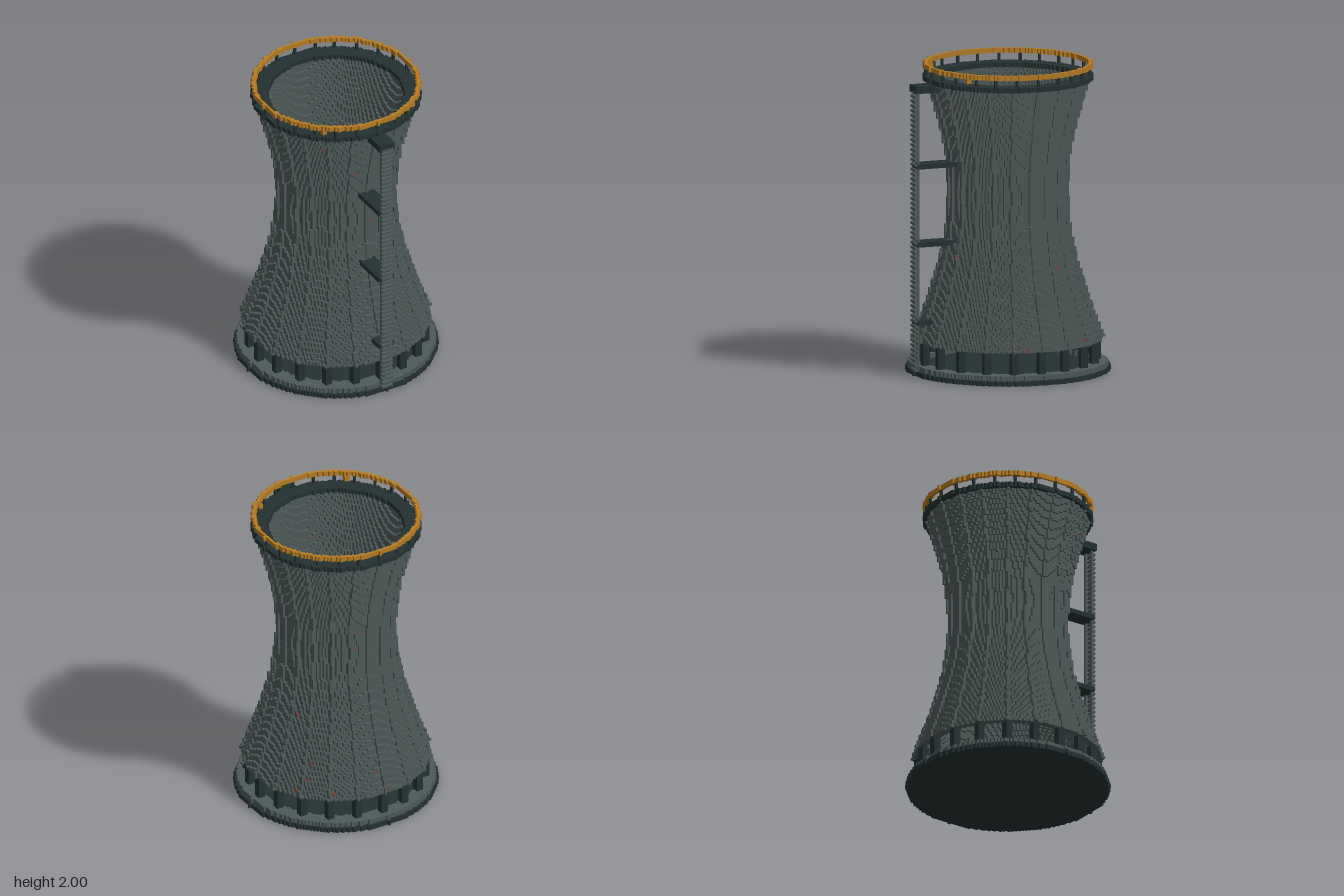
import * as THREE from 'three';

// The tower is made of small cubes: x and z run from -43 to 43, y from 0 to 125.
const S = 2 / 126, HALF = 43, W = 2 * HALF + 1;

const mats = {};
for (const [name, hex] of [['concrete', 0x4e5a59], ['darkSteel', 0x253232], ['safetyOrange', 0xb87d24], ['rust', 0x8a4030]]) {
  mats[name] = new THREE.MeshStandardMaterial({ color: hex });
  mats[name].name = name;
}

// Builds the outer faces of all cubes accepted by inside(x, y, z), joining neighbours into long strips.
function cubes(name, material, y0, y1, inside) {
  const dim = [W, y1 - y0, W];
  const grid = new Uint8Array(W * W * dim[1]);
  const at = (c) => (c.some((n, i) => n < 0 || n >= dim[i]) ? 0 : grid[(c[1] * W + c[2]) * W + c[0]]);
  for (let y = 0; y < dim[1]; y++)
    for (let z = 0; z < W; z++)
      for (let x = 0; x < W; x++)
        if (inside(x - HALF, y + y0, z - HALF)) grid[(y * W + z) * W + x] = 1;

  const pos = [], index = [];
  for (let a = 0; a < 3; a++) {
    const u = a === 1 ? 0 : 1, v = 3 - a - u;
    for (const sign of [-1, 1]) {
      const flip = (a !== 0) !== (sign < 0);
      const c = [0, 0, 0], n = [0, 0, 0];
      for (let i = 0; i < dim[a]; i++)
        for (let j = 0; j < dim[v]; j++) {
          let start = -1;
          for (let k = 0; k <= dim[u]; k++) {
            c[a] = i; c[v] = j; c[u] = k;
            n[a] = i + sign; n[v] = j; n[u] = k;
            const open = k < dim[u] && at(c) && !at(n);
            if (open && start < 0) start = k;
            if (!open && start >= 0) {
              const b = pos.length / 3;
              for (const [du, dv] of [[start, 0], [k, 0], [k, 1], [start, 1]]) {
                const p = [0, 0, 0];
                p[a] = i + (sign > 0 ? 1 : 0); p[u] = du; p[v] = j + dv;
                pos.push((p[0] - W / 2) * S, (p[1] + y0) * S, (p[2] - W / 2) * S);
              }
              if (flip) index.push(b, b + 2, b + 1, b, b + 3, b + 2);
              else index.push(b, b + 1, b + 2, b, b + 2, b + 3);
              start = -1;
            }
          }
        }
    }
  }
  const geo = new THREE.BufferGeometry();
  geo.setAttribute('position', new THREE.Float32BufferAttribute(pos, 3));
  geo.setIndex(index);
  geo.computeVertexNormals();
  const mesh = new THREE.Mesh(geo, material);
  mesh.name = name;
  return mesh;
}

// Evenly spaced cube positions on a circle
const around = (count, r) => Array.from({ length: count }, (_, i) => {
  const t = (i / count) * Math.PI * 2;
  return [Math.round(r * Math.sin(t)), Math.round(r * Math.cos(t))];
});
const near = (list, x, z, d) => list.some(([cx, cz]) => Math.abs(x - cx) <= d && Math.abs(z - cz) <= d);
const ring = (x, z, inner, outer) => {
  const r = Math.hypot(x, z);
  return r > inner && r <= outer;
};

// Hyperbolic outline of the tower, in cubes
const outline = (y) => 24.3 * Math.sqrt(1 + 1.717 * ((y + 0.5) * S - 1.17) ** 2);
const inShell = (x, y, z) => ring(x, z, outline(y) - 4, outline(y) - 1);

// Sparse repeatable scatter for the rust spots
const rusty = (x, y, z) => {
  let h = Math.imul(x + 50, 73856093) ^ Math.imul(y + 7, 19349663) ^ Math.imul(z + 50, 83492791);
  h = Math.imul(h ^ (h >>> 15), 0x2c1b3c6d);
  h = Math.imul(h ^ (h >>> 12), 0x297a2d39);
  return ((h ^ (h >>> 15)) >>> 0) / 4294967296 < 0.0015;
};

export function createModel() {
  const g = new THREE.Group();
  g.name = 'coolingTower';
  const { concrete, darkSteel, safetyOrange, rust } = mats;
  const add = (...args) => g.add(cubes(...args));

  // Foundation
  add('foundationSlab', darkSteel, 0, 2, (x, y, z) => ring(x, z, -1, 41));
  add('basinKerb', concrete, 2, 4, (x, y, z) => ring(x, z, 34, 40));

  // Support columns around the air inlet
  const columns = around(20, 36);
  add('supportColumns', darkSteel, 4, 13, (x, y, z) => near(columns, x, z, 1));

  // Shell with rust spots and raised ribs
  add('shell', concrete, 13, 119, (x, y, z) => inShell(x, y, z) && !rusty(x, y, z));
  add('rustSpots', rust, 13, 119, (x, y, z) => inShell(x, y, z) && rusty(x, y, z));
  const step = Math.PI / 10;
  add('shellRibs', concrete, 13, 119, (x, y, z) => {
    const r = Math.hypot(x, z), R = outline(y);
    if (r <= R - 1 || r > R) return false;
    const t = Math.atan2(x, z);
    return Math.abs(r * Math.sin(t - Math.round(t / step) * step)) < 0.6;
  });

  // Top gallery and railing
  add('topGallery', darkSteel, 119, 121, (x, y, z) => ring(x, z, 27.5, 34));
  const posts = around(24, 33);
  add('railPosts', darkSteel, 121, 124, (x, y, z) => near(posts, x, z, 0));
  add('handrail', safetyOrange, 124, 126, (x, y, z) => ring(x, z, 32.6, 34));
  add('warningLamps', safetyOrange, 122, 124, (x, y, z) =>
    (Math.abs(x) === 21 || Math.abs(x) === 20) && (z === 25 || z === 26));

  // Ladder up the front
  add('ladderStiles', concrete, 2, 117, (x, y, z) => z === 40 && Math.abs(x) === 2);
  add('ladderRungs', concrete, 2, 117, (x, y, z) => z === 41 && Math.abs(x) <= 2 && y % 2 === 0);

  // Ladder landings
  for (const y0 of [21, 53, 85])
    add('ladderBracket', darkSteel, y0, y0 + 2, (x, y, z) =>
      Math.abs(x) <= 3 && z > 0 && z <= 40 && Math.hypot(x, z) > outline(y) - 1);
  add('topLanding', darkSteel, 116, 119, (x, y, z) =>
    Math.abs(x) <= 3 && z > 0 && z <= 41 && Math.hypot(x, z) > outline(y) - 1);

  return g;
}
